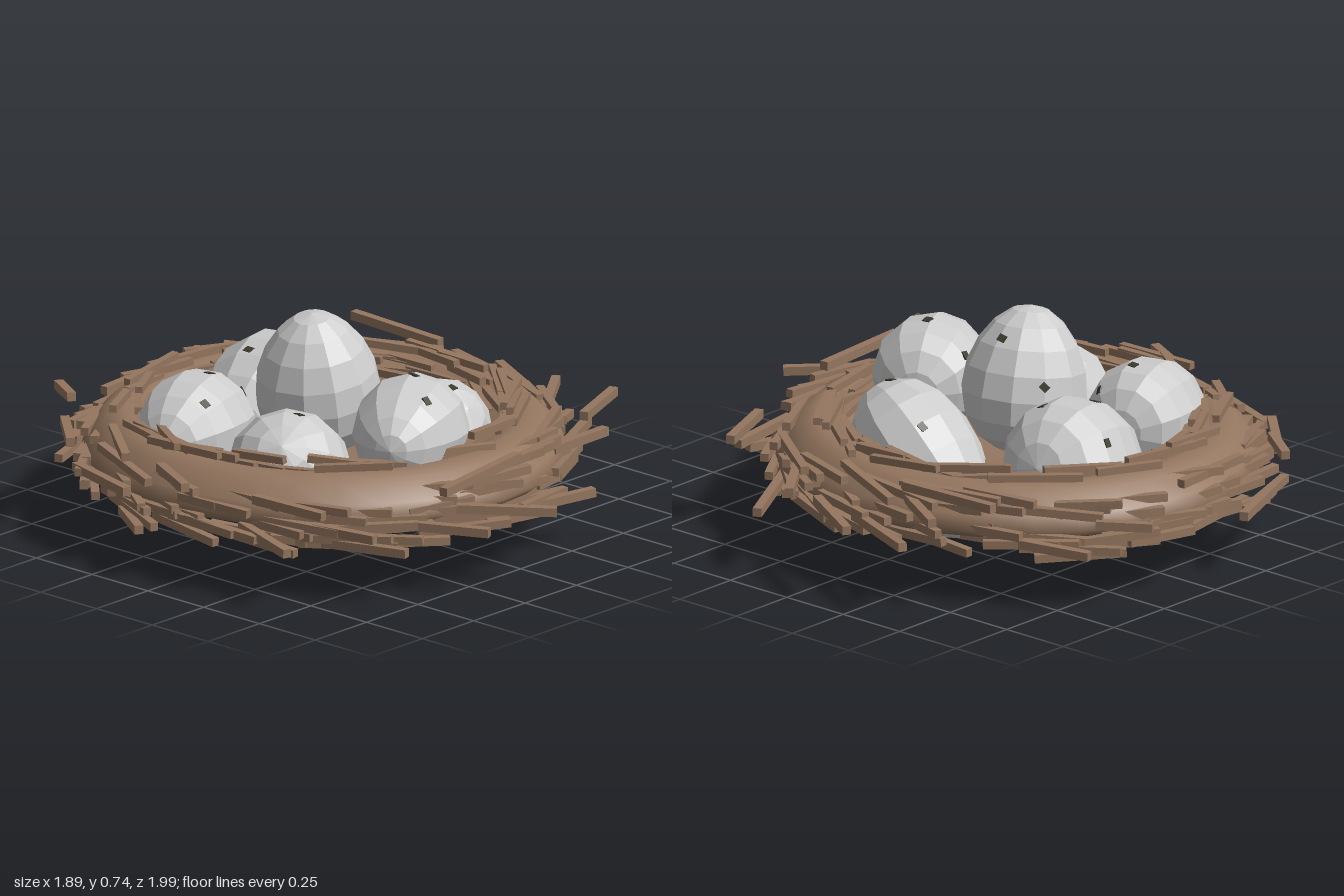
import * as THREE from 'three';
import { mergeGeometries } from 'three/addons/utils/BufferGeometryUtils.js';

const UP = new THREE.Vector3(0, 1, 0);
const CX = -0.05, CZ = -0.08; // nest centre

// Small seeded random generator
function seeded(seed) {
  return () => {
    seed = (seed * 1664525 + 1013904223) % 4294967296;
    return seed / 4294967296;
  };
}

// Square twig running between two points, kept level about its length
function twigBetween(a, b, width) {
  const along = b.clone().sub(a);
  const geo = new THREE.BoxGeometry(width, along.length(), width);
  along.normalize();
  const side = new THREE.Vector3().crossVectors(along, UP).normalize();
  const m = new THREE.Matrix4().makeBasis(side, along, side.clone().cross(along));
  return geo.applyMatrix4(m.setPosition(a.clone().add(b).multiplyScalar(0.5)));
}

// Ring of twigs laid around the nest, each swirling outward
function twigRing({ count, seed, y, r, len, skew, width }) {
  const rnd = seeded(seed);
  const pick = ([lo, hi]) => lo + (hi - lo) * rnd();
  const twigs = [];
  for (let i = 0; i < count; i++) {
    const t = ((i + rnd() * 0.8) / count) * Math.PI * 2;
    const k = rnd(); // from the first height and radius to the second
    const radius = r[0] + (r[1] - r[0]) * k + (rnd() - 0.5) * 0.07;
    const height = y[0] + (y[1] - y[0]) * k;
    const mid = new THREE.Vector3(CX + radius * Math.cos(t), height, CZ - radius * 1.03 * Math.sin(t));
    const a = t + Math.PI / 2 - pick(skew);
    const half = new THREE.Vector3(Math.cos(a), (rnd() - 0.5) * 0.16, -Math.sin(a)).multiplyScalar(pick(len) / 2);
    twigs.push(twigBetween(mid.clone().sub(half), mid.clone().add(half), width));
  }
  return mergeGeometries(twigs);
}

// Loose twigs sticking out of the rim: x1, z1, x2, z2, height
const STRAYS = [
  [-0.25, 0.8, -0.08, 0.99, 0.28], [-0.43, 0.62, -0.3, 0.89, 0.23], [-0.65, 0.4, -0.55, 0.75, 0.18],
  [-0.78, 0.35, -0.75, 0.56, 0.33], [-0.68, 0.42, -0.63, 0.68, 0.24], [-0.3, 0.76, 0.02, 0.72, 0.37],
  [0.38, 0.6, 0.6, 0.58, 0.3], [0.55, 0.56, 0.75, 0.48, 0.37], [0.1, 0.68, 0.36, 0.75, 0.17],
  [0.6, 0.4, 0.85, 0.27, 0.2], [0.68, 0.25, 0.86, 0.12, 0.3], [0.78, -0.15, 0.9, -0.42, 0.24],
  [0.82, 0, 0.93, -0.2, 0.27], [0.68, -0.25, 0.81, -0.47, 0.32], [0.71, -0.35, 0.71, -0.65, 0.38],
  [0.56, -0.6, 0.48, -0.87, 0.22], [0.37, -0.86, 0.29, -0.98, 0.29], [-0.38, -0.88, -0.16, -0.98, 0.2],
  [-0.47, -0.84, -0.4, -0.95, 0.36], [-0.84, -0.24, -0.93, -0.1, 0.17], [-0.8, -0.45, -0.88, -0.2, 0.26],
  [-0.78, 0.27, -0.85, 0.49, 0.21], [-0.82, -0.08, -0.9, 0.08, 0.35], [-0.58, -0.75, -0.72, -0.6, 0.3],
];

// Centre, direction of the narrow end, half length, radius, speckles as [x, z] seen from above
const EGGS = [
  { name: 'topEgg', at: [-0.1, 0.49, -0.065], axis: [-0.15, 1, 0.03], h: 0.25, r: 0.21, dots: [[0.02, -0.07], [0, -0.24]] },
  { name: 'frontEgg', at: [-0.13, 0.415, 0.37], axis: [-0.85, 0.05, 0.45], h: 0.24, r: 0.19, dots: [[-0.08, 0.35], [-0.16, 0.48], [-0.09, 0.19]] },
  { name: 'leftLowEgg', at: [-0.355, 0.235, 0.05], axis: [0.6, -0.62, -0.42], h: 0.295, r: 0.21, dots: [[-0.43, -0.11], [-0.39, 0.12], [-0.2, 0.08]] },
  { name: 'rightLowEgg', at: [0.19, 0.235, 0.12], axis: [0.05, -0.62, -0.78], h: 0.305, r: 0.195, dots: [[0.28, 0.05], [0.18, 0.28]] },
  { name: 'backEgg', at: [0.02, 0.31, -0.4], axis: [-0.93, -0.2, 0.2], h: 0.27, r: 0.22, dots: [[-0.05, -0.42], [0.12, -0.34], [0.08, -0.59]] },
  { name: 'backLeftEgg', at: [-0.43, 0.345, -0.32], axis: [-0.93, 0, 0.25], h: 0.225, r: 0.19, dots: [[-0.49, -0.21], [-0.36, -0.31], [-0.26, -0.25]] },
];

// Faceted egg, blunt at the bottom and narrower at the top
function eggGeometry(h, r) {
  const geo = new THREE.SphereGeometry(1, 12, 9);
  const p = geo.attributes.position;
  for (let i = 0; i < p.count; i++) {
    const y = p.getY(i), w = r * (1 - 0.16 * y);
    p.setXYZ(i, p.getX(i) * w, y * h, p.getZ(i) * w);
  }
  geo.computeVertexNormals();
  return geo;
}

export function createModel() {
  const model = new THREE.Group();
  const nest = new THREE.Group();
  nest.name = 'nest';
  model.add(nest);

  const brown = new THREE.MeshStandardMaterial({ color: 0x94765f });
  const shellMat = new THREE.MeshStandardMaterial({ color: 0x94765f, side: THREE.DoubleSide });
  const eggMat = new THREE.MeshStandardMaterial({ color: 0xcccccc, flatShading: true });
  const dotMat = new THREE.MeshStandardMaterial({ color: 0x3c3a2c });

  const add = (name, geo, mat, parent = nest) => {
    const mesh = new THREE.Mesh(geo, mat);
    mesh.name = name;
    parent.add(mesh);
    return mesh;
  };

  // Dished bowl with a rounded rim
  const profile = [[0, 0.22], [0.6, 0.21], [0.76, 0.22], [0.79, 0.25], [0.77, 0.3], [0.71, 0.36],
    [0.65, 0.38], [0.58, 0.36], [0.48, 0.29], [0.35, 0.25], [0, 0.24]];
  const shell = add('bowl', new THREE.LatheGeometry(profile.map(([x, y]) => new THREE.Vector2(x, y)), 32), shellMat);
  shell.position.set(CX, 0, CZ);
  shell.scale.z = 1.03;

  // Woven twigs
  add('outerTwigs', twigRing({ count: 125, seed: 7, y: [0.18, 0.36], r: [0.79, 0.74], len: [0.22, 0.36], skew: [0.05, 0.4], width: 0.028 }), brown);
  add('innerTwigs', twigRing({ count: 120, seed: 21, y: [0.31, 0.41], r: [0.52, 0.64], len: [0.18, 0.32], skew: [-0.15, 0.35], width: 0.025 }), brown);
  add('underTwigs', twigRing({ count: 24, seed: 5, y: [0.17, 0.2], r: [0.78, 0.68], len: [0.22, 0.36], skew: [0, 0.4], width: 0.028 }), brown);
  add('strayTwigs', mergeGeometries(STRAYS.map(([x1, z1, x2, z2, y], i) => {
    const tip = new THREE.Vector3(x2, y + 0.008 * (i % 3 - 1), z2);
    const root = new THREE.Vector3(x1, y, z1).lerp(tip, -0.3);
    return twigBetween(root, tip, 0.03);
  })), brown);

  // Eggs with small dark speckles dropped onto their surface
  const ray = new THREE.Raycaster();
  for (const e of EGGS) {
    const group = new THREE.Group();
    group.name = e.name;
    model.add(group);
    const egg = add('eggShell', eggGeometry(e.h, e.r), eggMat, group);
    egg.position.set(...e.at);
    egg.quaternion.setFromUnitVectors(UP, new THREE.Vector3(...e.axis).normalize());
    egg.updateMatrixWorld(true);
    for (const [x, z] of e.dots) {
      ray.set(new THREE.Vector3(x, 2, z), new THREE.Vector3(0, -1, 0));
      const hit = ray.intersectObject(egg)[0];
      if (!hit) continue;
      const dot = add('speckle', new THREE.BoxGeometry(0.025, 0.006, 0.03), dotMat, group);
      dot.position.copy(hit.point);
      dot.quaternion.setFromUnitVectors(UP, hit.face.normal.clone().transformDirection(egg.matrixWorld));
    }
  }

  // Stand on the ground, centred
  const box = new THREE.Box3().setFromObject(model, true);
  const mid = box.getCenter(new THREE.Vector3());
  for (const part of model.children) part.position.sub(new THREE.Vector3(mid.x, box.min.y, mid.z));
  return model;
}
